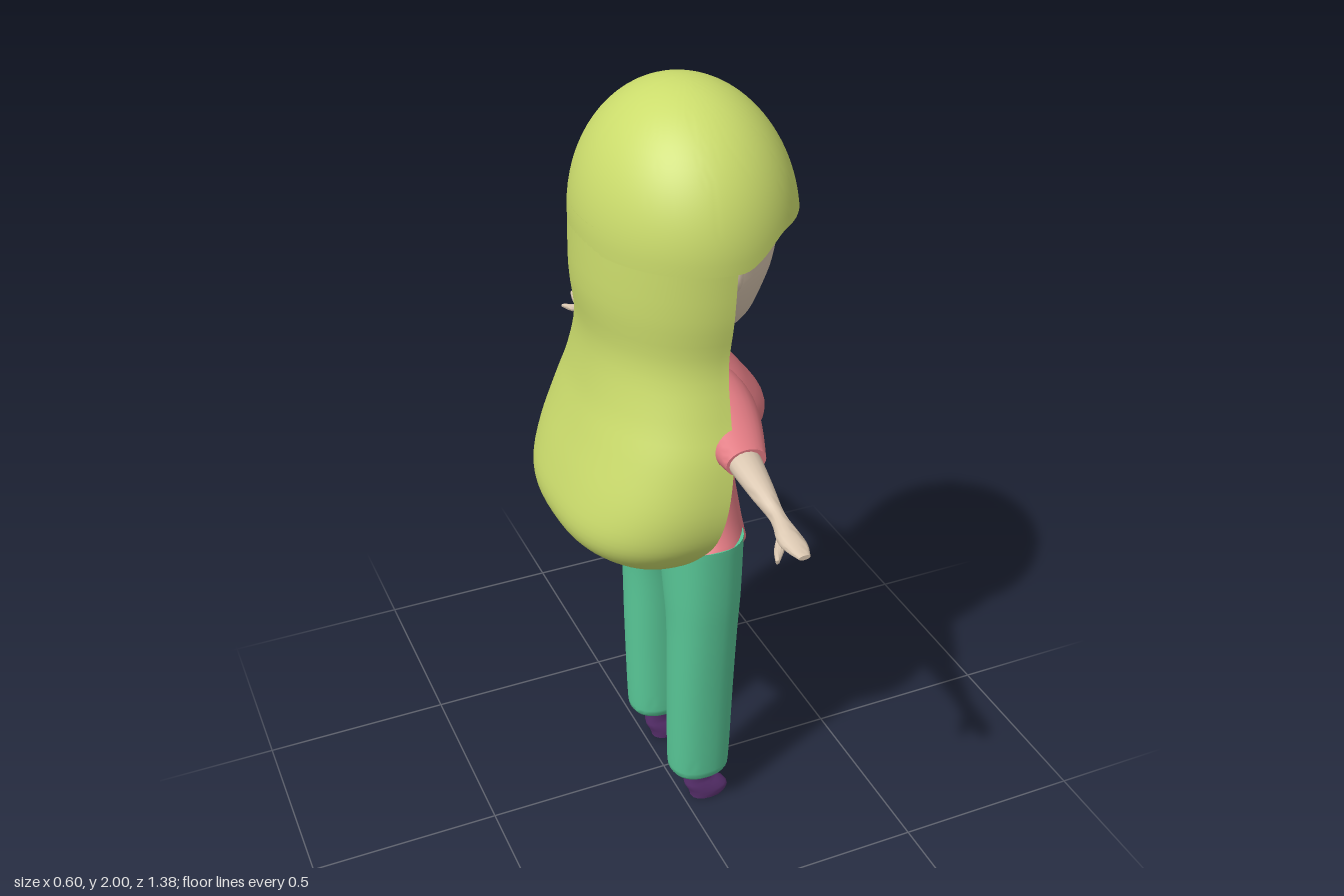
import * as THREE from 'three';
import { toCreasedNormals } from 'three/addons/utils/BufferGeometryUtils.js';

const COLORS = { hair: 0xcbdc6c, skin: 0xd9c6b0, shirt: 0xe07a82, pants: 0x58c696, shoe: 0x5c3272 };
const materials = {};
for (const k in COLORS) materials[k] = new THREE.MeshStandardMaterial({ color: COLORS[k], side: THREE.DoubleSide });

// Smooth interpolation through rows of numbers
function smoothRows(rows, steps) {
  const out = [];
  const at = i => rows[Math.max(0, Math.min(rows.length - 1, i))];
  for (let i = 0; i < rows.length - 1; i++) {
    for (let s = 0; s < steps; s++) {
      const t = s / steps;
      out.push(rows[i].map((b, k) => {
        const a = at(i - 1)[k], c = at(i + 1)[k], d = at(i + 2)[k];
        return 0.5 * (2 * b + (c - a) * t + (2 * a - 5 * b + 4 * c - d) * t * t + (3 * b - a - 3 * c + d) * t ** 3);
      }));
    }
  }
  out.push(rows[rows.length - 1]);
  return out;
}

// Skins closed loops of points, with optional end caps; always faces outward
function skin(loops, capStart = true, capEnd = true, crease = 0.9) {
  const n = loops[0].length, pos = loops.flat(), idx = [];
  for (let i = 0; i < loops.length - 1; i++) {
    for (let j = 0; j < n; j++) {
      const a = i * n + j, b = i * n + (j + 1) % n;
      idx.push(a, b, a + n, b, b + n, a + n);
    }
  }
  const cap = (row, flip) => {
    const c = [0, 1, 2].map(k => loops[row].reduce((s, p) => s + p[k], 0) / n);
    const ci = pos.push(c) - 1;
    for (let j = 0; j < n; j++) {
      const a = row * n + j, b = row * n + (j + 1) % n;
      if (flip) idx.push(ci, b, a); else idx.push(ci, a, b);
    }
  };
  if (capStart) cap(0, true);
  if (capEnd) cap(loops.length - 1, false);
  let volume = 0;
  const v = pos.map(p => new THREE.Vector3(...p));
  const cross = new THREE.Vector3();
  for (let i = 0; i < idx.length; i += 3) volume += v[idx[i]].dot(cross.crossVectors(v[idx[i + 1]], v[idx[i + 2]]));
  if (volume < 0) idx.reverse();
  const g = new THREE.BufferGeometry();
  g.setAttribute('position', new THREE.Float32BufferAttribute(pos.flat(), 3));
  g.setIndex(idx);
  return toCreasedNormals(g, crease);
}

// Rows: [position on axis, centre u, centre v, radius u, radius v]
function loft(rows, { axis = 'y', sides = 32, steps = 5, power = 1, rule = p => p } = {}) {
  const pw = x => Math.sign(x) * Math.abs(x) ** power;
  return skin(smoothRows(rows, steps).map(([t, cu, cv, ru, rv]) => Array.from({ length: sides }, (_, j) => {
    const a = j / sides * Math.PI * 2;
    const u = cu + ru * pw(Math.cos(a)), w = cv + rv * pw(Math.sin(a));
    return rule(axis === 'y' ? [u, t, w] : [u, w, t]);
  })));
}

// Lower edge of the fringe, with its parting notch
const NOTCH = [[-0.04, 0], [-0.01, 0.04], [0.03, 0.07], [0.07, 0.1], [0.09, 0.1], [0.12, 0.03], [0.145, 0]];
function fringeEdge(x, z) {
  let y = 1.66 + 0.065 * THREE.MathUtils.smoothstep(x, 0.05, 0.18);
  if (x > 0.1) {
    for (let i = 0; i < NOTCH.length - 1; i++) {
      const [z0, h0] = NOTCH[i], [z1, h1] = NOTCH[i + 1];
      if (z >= z0 && z < z1) y += h0 + (h1 - h0) * (z - z0) / (z1 - z0);
    }
  }
  return y;
}

// Domed shell over the head, outer surface then inner
function hairCap() {
  const loops = [], rows = 20, n = 144;
  const ring = (v, k) => Array.from({ length: n }, (_, j) => {
    const a = j / n * Math.PI * 2;
    const edge = fringeEdge(0.045 + 0.25 * Math.cos(a), 0.3 * Math.sin(a));
    const phi = v * Math.acos((edge - 1.68) / 0.32);
    const s = Math.sin(phi) * k;
    return [0.045 + 0.257 * s * Math.cos(a), 1.68 + 0.32 * Math.cos(phi) * (v === 1 ? 1 : k), 0.31 * s * Math.sin(a)];
  });
  for (let i = 0; i <= rows; i++) loops.push(ring(Math.max(i / rows, 0.002), 1));
  for (let i = rows; i >= 0; i--) loops.push(ring(Math.max(i / rows, 0.002), 0.88));
  return skin(loops, true, true, 0.7);
}

// Long hair: rows of [y, front x, back x, half width, inner scale, roundness]
function hairLength() {
  const rows = [
    [1.72, 0.045, -0.21, 0.306, 0.88, 1], [1.55, 0.04, -0.214, 0.3, 0.88, 1],
    [1.42, 0.035, -0.2, 0.285, 0.88, 0.95], [1.3, 0.032, -0.215, 0.31, 0.87, 0.88],
    [1.2, 0.028, -0.243, 0.34, 0.86, 0.82], [1.08, 0.01, -0.283, 0.355, 0.84, 0.78],
    [0.99, -0.012, -0.305, 0.342, 0.8, 0.78], [0.93, -0.04, -0.29, 0.305, 0.7, 0.8],
    [0.88, -0.07, -0.235, 0.25, 0.45, 0.85], [0.845, -0.1, -0.17, 0.17, 0.05, 0.9],
  ];
  const n = 40;
  const loops = smoothRows(rows, 4).map(([y, xf, xb, w, k, p]) => {
    const arc = scale => Array.from({ length: n + 1 }, (_, j) => {
      const a = (j / n - 0.5) * Math.PI, s = Math.sin(a);
      return [xf - (xf - xb) * scale * Math.max(Math.cos(a), 0) ** p, y, w * scale * Math.sign(s) * Math.abs(s) ** p];
    });
    return [...arc(1), ...arc(k).reverse()];
  });
  return skin(loops, false, true, 0.7);
}

export function createModel() {
  const model = new THREE.Group();
  const add = (name, geometry, color, parent = model) => {
    const mesh = new THREE.Mesh(geometry, materials[color]);
    mesh.name = name;
    parent.add(mesh);
    return mesh;
  };
  const ball = (name, r, p, s) => {
    const m = add(name, new THREE.SphereGeometry(r, 20, 14), 'skin');
    m.position.set(...p);
    m.scale.set(...s);
  };

  // Head and neck
  add('head', loft([
    [1.4, 0.06, 0, 0.05, 0.06], [1.425, 0.055, 0, 0.1, 0.13], [1.48, 0.045, 0, 0.145, 0.205],
    [1.55, 0.04, 0, 0.175, 0.25], [1.64, 0.04, 0, 0.205, 0.27], [1.75, 0.04, 0, 0.205, 0.26],
    [1.85, 0.04, 0, 0.165, 0.2], [1.92, 0.04, 0, 0.07, 0.09],
  ], { sides: 40 }), 'skin');
  ball('nose', 0.035, [0.217, 1.6, 0], [1, 0.8, 1]);
  add('neck', loft([[1.3, 0.045, 0, 0.075, 0.08], [1.43, 0.045, 0, 0.075, 0.08]], { sides: 12, steps: 1 }), 'skin');

  // Hair
  add('hairCap', hairCap(), 'hair');
  add('longHair', hairLength(), 'hair');

  // Shirt body, hem dipping at front and back
  add('shirt', loft([
    [0.89, 0.04, 0, 0.15, 0.25], [0.95, 0.05, 0, 0.128, 0.208], [1.03, 0.055, 0, 0.115, 0.172],
    [1.11, 0.075, 0, 0.14, 0.18], [1.19, 0.092, 0, 0.153, 0.2], [1.27, 0.065, 0, 0.128, 0.19],
    [1.325, 0.05, 0, 0.095, 0.135], [1.355, 0.048, 0, 0.068, 0.08],
  ], {
    sides: 40,
    rule: ([x, y, z]) => [x, y - 0.068 * (1 - (z / 0.25) ** 2) * Math.max(0, (1.03 - y) / 0.14), z],
  }), 'shirt');

  // Hips
  add('hips', loft([
    [0.745, 0.045, 0, 0.05, 0.05], [0.765, 0.045, 0, 0.09, 0.1], [0.81, 0.04, 0, 0.122, 0.19],
    [0.89, 0.04, 0, 0.128, 0.235],
  ]), 'pants');

  for (const [side, m] of [['left', -1], ['right', 1]]) {
    const upright = rows => rows.map(([y, cx, cz, rx, rz]) => [y, cx, cz * m, rx, rz]);
    const sideways = rows => rows.map(([z, ...r]) => [z * m, ...r]);
    const limb = new THREE.Group();
    limb.name = side + 'Limbs';
    model.add(limb);

    // Sleeve, arm and thumb
    add('sleeve', loft(sideways([
      [0.06, 0.06, 1.215, 0.1, 0.125], [0.15, 0.06, 1.21, 0.105, 0.122], [0.2, 0.058, 1.222, 0.097, 0.1],
      [0.25, 0.055, 1.232, 0.084, 0.077], [0.31, 0.05, 1.228, 0.068, 0.053], [0.378, 0.04, 1.222, 0.05, 0.034],
    ]), { axis: 'z', sides: 28 }), 'shirt', limb);
    add('arm', loft(sideways([
      [0.35, 0.04, 1.223, 0.042, 0.032], [0.4, 0.036, 1.217, 0.038, 0.03], [0.48, 0.034, 1.2, 0.028, 0.026],
      [0.55, 0.034, 1.182, 0.018, 0.02], [0.61, 0.03, 1.168, 0.028, 0.02], [0.65, 0.032, 1.165, 0.026, 0.013],
      [0.688, 0.03, 1.165, 0.014, 0.006],
    ]), { axis: 'z', sides: 16, steps: 3 }), 'skin', limb);
    add('thumb', loft(sideways([
      [0.585, 0.026, 1.162, 0.01, 0.012], [0.62, 0.005, 1.151, 0.014, 0.012], [0.657, -0.018, 1.146, 0.005, 0.005],
    ]), { axis: 'z', sides: 10, steps: 3 }), 'skin', limb);

    // Ear
    ball(side + 'Ear', 0.03, [0.05, 1.63, 0.265 * m], [0.8, 1.2, 0.6]);

    // Trouser leg
    add('trouserLeg', loft(upright([
      [0.105, 0.04, 0.14, 0.06, 0.05], [0.12, 0.04, 0.14, 0.077, 0.066], [0.16, 0.04, 0.14, 0.083, 0.071],
      [0.4, 0.04, 0.146, 0.087, 0.077], [0.6, 0.042, 0.149, 0.09, 0.086], [0.72, 0.043, 0.142, 0.096, 0.1],
      [0.885, 0.043, 0.127, 0.102, 0.12],
    ]), { power: 0.88 }), 'pants', limb);

    // Shoe
    add('shoe', loft(upright([
      [0, 0.07, 0.135, 0.048, 0.032], [0.02, 0.073, 0.135, 0.056, 0.036], [0.045, 0.055, 0.135, 0.05, 0.034],
      [0.07, 0.04, 0.135, 0.037, 0.03], [0.12, 0.037, 0.135, 0.037, 0.033],
    ]), { sides: 16, steps: 3, power: 0.85 }), 'shoe', limb);
  }
  return model;
}
